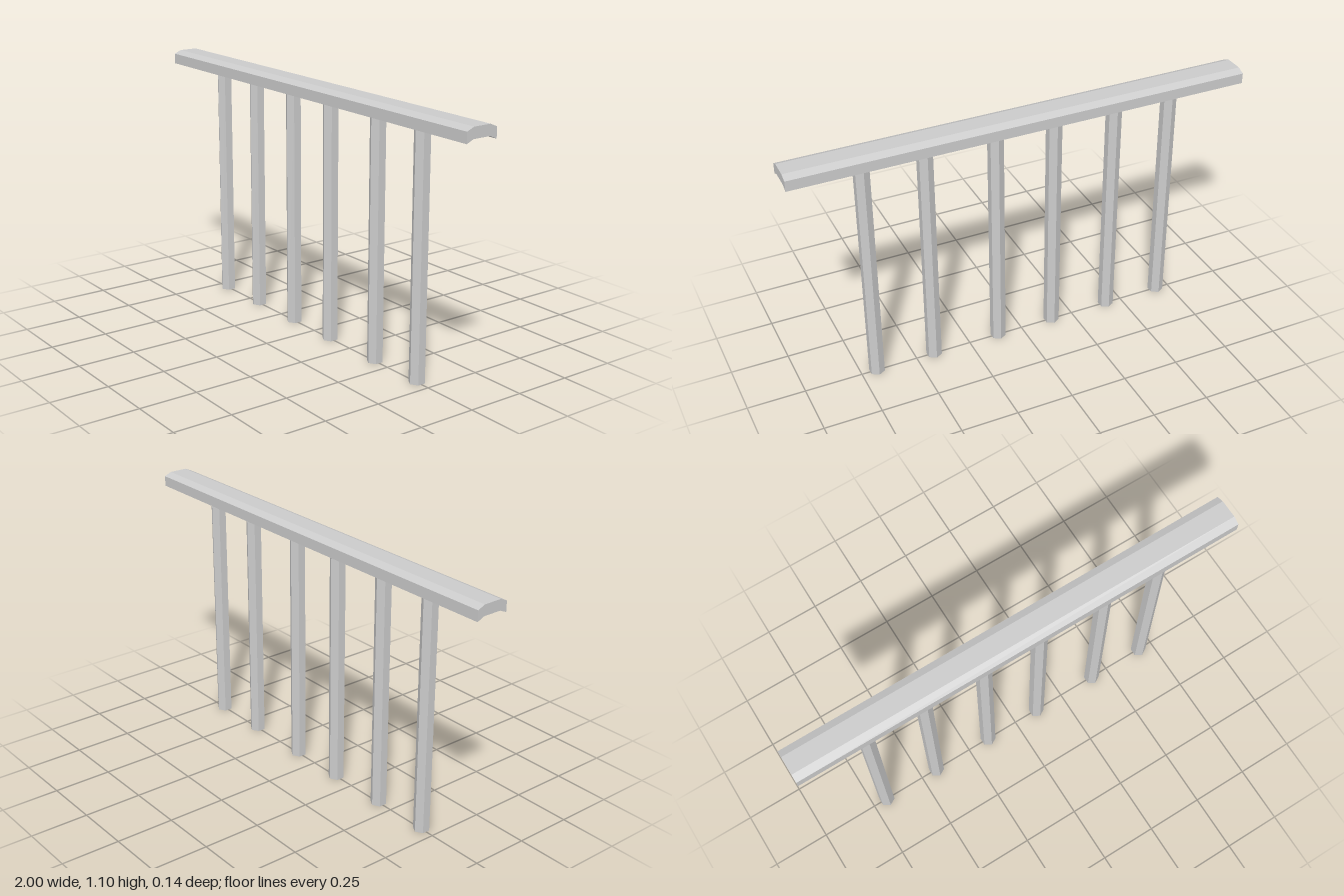
import * as THREE from 'three';

export function createModel() {
  const group = new THREE.Group();
  const material = new THREE.MeshStandardMaterial({ color: 0xcccccc, flatShading: true });

  // Handrail: bevelled channel profile (z, y), mirrored and swept along x
  const half = [[0.04, 1.05], [0.072, 1.036], [0.072, 1.081], [0.04, 1.095]];
  const mirrored = half.map(([z, y]) => [-z, y]).reverse();
  const profile = new THREE.Shape([...half, ...mirrored].map(([z, y]) => new THREE.Vector2(z, y)));
  const railGeometry = new THREE.ExtrudeGeometry(profile, { depth: 2, bevelEnabled: false });
  railGeometry.translate(0, 0, -1).rotateY(Math.PI / 2);
  const rail = new THREE.Mesh(railGeometry, material);
  rail.name = 'handrail';
  group.add(rail);

  // Hexagonal posts, slightly unevenly spaced, reaching the rail's underside
  const height = 1.05;
  const postGeometry = new THREE.CylinderGeometry(0.034, 0.034, height, 6);
  [-0.685, -0.424, -0.148, 0.114, 0.419, 0.682].forEach((x, i) => {
    const post = new THREE.Mesh(postGeometry, material);
    post.name = `post${i + 1}`;
    post.position.set(x, height / 2, 0);
    group.add(post);
  });

  return group;
}
